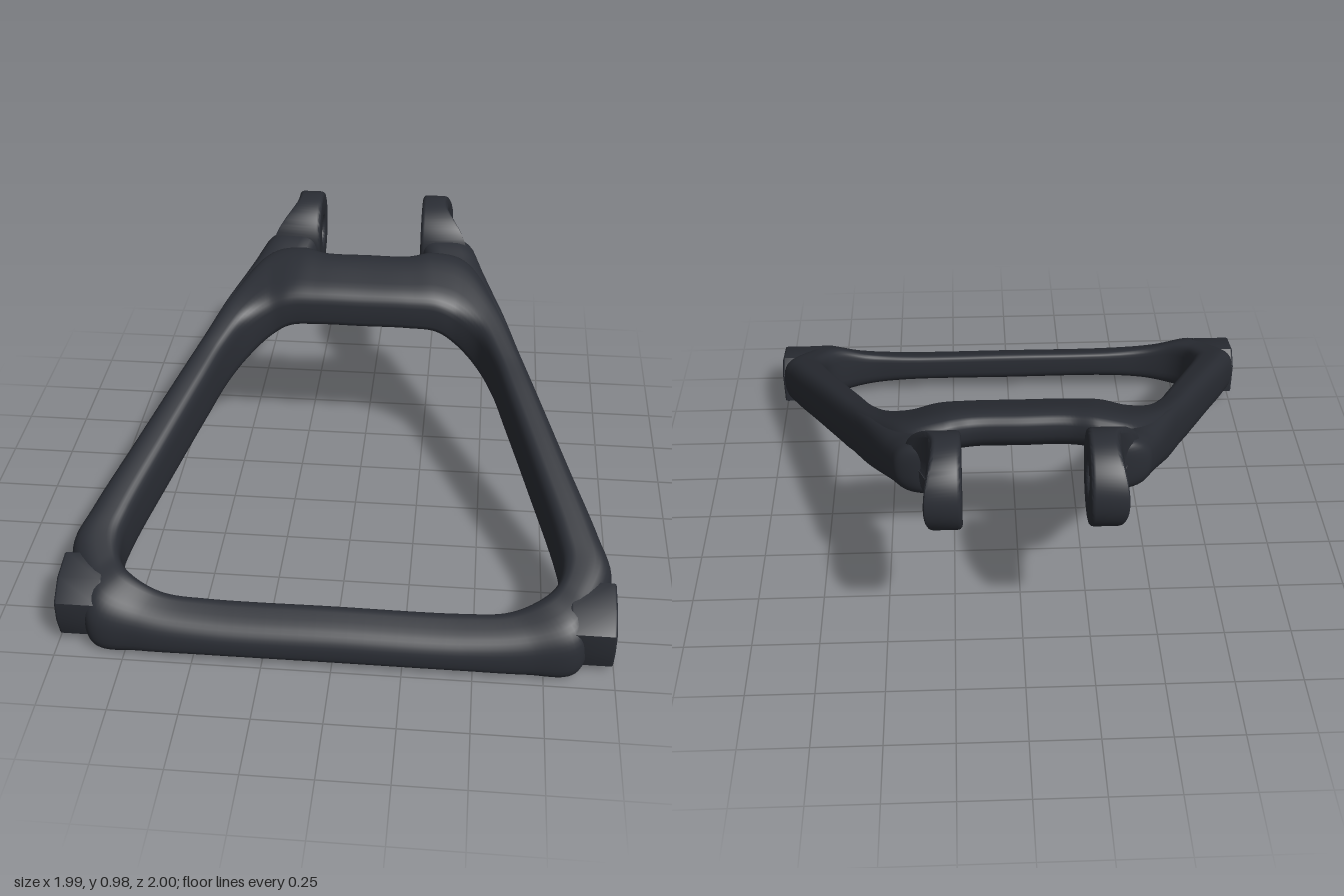
import * as THREE from 'three';
import { toCreasedNormals } from 'three/addons/utils/BufferGeometryUtils.js';

const material = new THREE.MeshStandardMaterial({ color: 0x2a2d34 });

// Height of the sloping mid plane of the arm at depth z
const midY = (z) => 0.485 - 0.405 * z;

function part(name, geometry) {
  const mesh = new THREE.Mesh(geometry, material);
  mesh.name = name;
  return mesh;
}

// Loft of sections [inner x, inner z, lift, outer x, outer z, half height]:
// squarish on the inner side, more chamfered on the outer side
function loft(sections, closed, steps, sides = 32) {
  const inner = new THREE.CatmullRomCurve3(
    sections.map((s) => new THREE.Vector3(s[0], s[1], s[2])), closed);
  const outer = new THREE.CatmullRomCurve3(
    sections.map((s) => new THREE.Vector3(s[3], s[4], s[5])), closed);
  const rings = closed ? steps : steps + 1;
  const positions = [];
  const index = [];
  for (let i = 0; i < rings; i++) {
    const a = inner.getPoint(i / steps);
    const b = outer.getPoint(i / steps);
    for (let j = 0; j < sides; j++) {
      const angle = (j / sides) * Math.PI * 2;
      const exponent = Math.cos(angle) > 0 ? 0.78 : 0.5;
      const power = (v) => Math.sign(v) * Math.abs(v) ** exponent;
      const k = 0.5 + 0.5 * power(Math.cos(angle));
      const x = a.x + (b.x - a.x) * k;
      const z = a.y + (b.y - a.y) * k;
      positions.push(x, midY(z) + a.z + b.z * power(Math.sin(angle)), z);
    }
  }
  for (let i = 0; i < steps; i++) {
    for (let j = 0; j < sides; j++) {
      const p = i * sides + j;
      const q = i * sides + ((j + 1) % sides);
      const r = ((i + 1) % rings) * sides + j;
      const s = ((i + 1) % rings) * sides + ((j + 1) % sides);
      index.push(p, r, q, q, r, s);
    }
  }
  const geometry = new THREE.BufferGeometry();
  geometry.setAttribute('position', new THREE.Float32BufferAttribute(positions, 3));
  geometry.setIndex(index);
  geometry.computeVertexNormals();
  return geometry;
}

// Extrude a side profile (drawn with -z to the right) from x0 to x1
function sideExtrude(shape, x0, x1, bevel) {
  const geometry = new THREE.ExtrudeGeometry(shape, {
    depth: x1 - x0 - 2 * bevel, bevelThickness: bevel, bevelSize: bevel,
    bevelOffset: -bevel, bevelSegments: 3, curveSegments: 40,
  });
  return geometry.rotateY(Math.PI / 2).translate(x0 + bevel, 0, 0);
}

function roundHole(z, y, radius) {
  return new THREE.Path().absarc(-z, y, radius, 0, Math.PI * 2, true);
}

export function createModel() {
  const model = new THREE.Group();
  model.name = 'swingArm';

  // Closed frame: front beam, hub corner, leg and raised rear bridge
  const half = [
    [0, 0.85, 0, 0, 1.0, 0.066],
    [0.45, 0.85, 0, 0.45, 1.0, 0.067],
    [0.62, 0.845, 0, 0.7, 0.99, 0.085],
    [0.73, 0.81, 0.005, 0.87, 0.965, 0.118],
    [0.785, 0.75, 0, 0.92, 0.85, 0.118],
    [0.8, 0.66, 0, 0.985, 0.69, 0.115],
    [0.78, 0.56, 0, 0.945, 0.56, 0.115],
    [0.685, 0.28, 0, 0.832, 0.28, 0.115],
    [0.585, 0, 0, 0.72, 0, 0.115],
    [0.525, -0.16, 0, 0.655, -0.16, 0.115],
    [0.465, -0.255, 0.01, 0.54, -0.42, 0.115],
    [0.38, -0.302, 0.05, 0.4, -0.6, 0.1],
    [0.3, -0.31, 0.09, 0.27, -0.6, 0.086],
    [0.18, -0.31, 0.1, 0.17, -0.567, 0.082],
    [0, -0.31, 0.1, 0, -0.565, 0.082],
  ];
  const mirrored = half.slice(1, -1).reverse()
    .map(([a, b, c, d, e, f]) => [-a, b, c, -d, e, f]);
  const loop = [...half, ...mirrored];
  model.add(part('frame', loft(loop, true, loop.length * 8)));

  const side = new THREE.Group();
  side.name = 'leftFittings';

  // Faceted hub with a blind bore at the front corner
  const profile = [[0.69, 0.22], [0.695, 0.087], [0.87, 0.005], [0.92, 0.04],
    [0.945, 0.12], [0.945, 0.2], [0.87, 0.26], [0.75, 0.278]];
  const hubShape = new THREE.Shape(profile.map(([z, y]) => new THREE.Vector2(-z, y)));
  hubShape.holes.push(roundHole(0.83, 0.145, 0.05));
  side.add(part('frontHub', toCreasedNormals(sideExtrude(hubShape, 0.83, 0.995, 0.01), 0.6)));
  side.add(part('hubBoreEnd', new THREE.CircleGeometry(0.056, 32)
    .rotateY(Math.PI / 2).translate(0.945, 0.145, 0.83)));

  // Straight continuation of the leg to the rear eye
  side.add(part('eyeArm', loft([
    [0.56, -0.12, 0, 0.665, -0.13, 0.108],
    [0.47, -0.36, 0, 0.574, -0.36, 0.114],
    [0.32, -0.52, 0, 0.51, -0.52, 0.115],
    [0.245, -0.59, 0, 0.482, -0.59, 0.115],
    [0.225, -0.65, 0, 0.458, -0.65, 0.114],
    [0.215, -0.69, 0, 0.438, -0.695, 0.108],
    [0.22, -0.715, 0, 0.39, -0.725, 0.098],
    [0.23, -0.73, 0, 0.32, -0.74, 0.08],
    [0.27, -0.735, 0, 0.27, -0.735, 0],
  ], false, 64)));

  // Mounting eye whose outer face flares out towards the arm
  const eyeZ = -0.83;
  const eyeShape = new THREE.Shape().absarc(-eyeZ, 0.82, 0.166, 0, Math.PI * 2);
  eyeShape.holes.push(roundHole(eyeZ, 0.82, 0.058));
  const eye = sideExtrude(eyeShape, 0.21, 0.31, 0.016);
  const pos = eye.attributes.position;
  for (let i = 0; i < pos.count; i++) {
    const dz = pos.getZ(i) - eyeZ;
    if (pos.getX(i) > 0.26) pos.setX(i, pos.getX(i) + (dz > 0 ? 3.8 : 1.2) * dz ** 2);
  }
  side.add(part('rearEye', toCreasedNormals(eye, 0.6)));
  model.add(side);

  const other = side.clone();
  other.name = 'rightFittings';
  other.scale.x = -1;
  model.add(other);
  return model;
}
